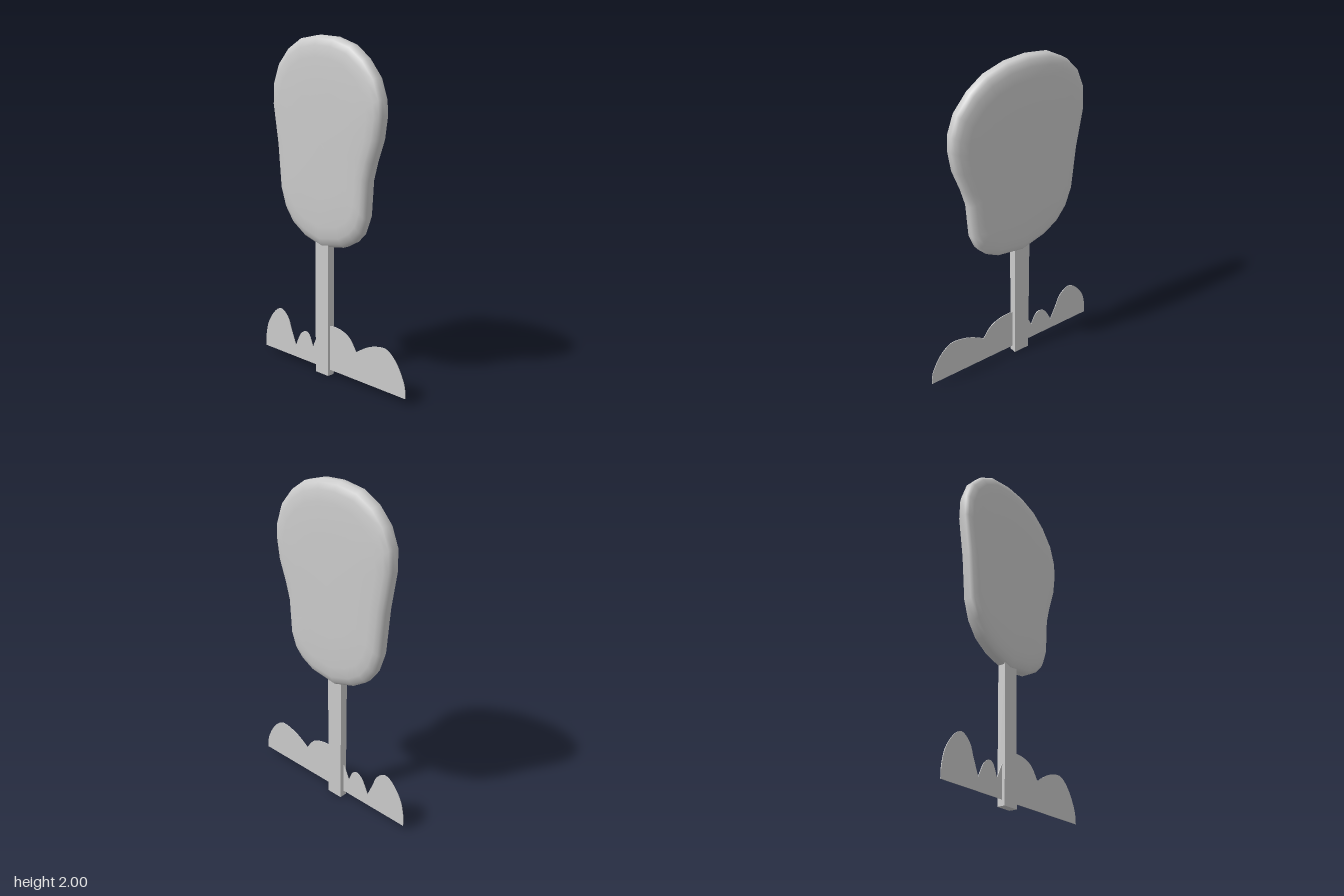
import * as THREE from 'three';

// Crown outline as [z, y], clockwise seen from +x
const crownOutline = [
  [-0.085, 2], [-0.23, 1.98], [-0.34, 1.92], [-0.42, 1.835], [-0.465, 1.725],
  [-0.47, 1.6], [-0.43, 1.36], [-0.405, 1.09], [-0.365, 0.975], [-0.3, 0.89],
  [-0.205, 0.83], [-0.055, 0.785], [0.12, 0.81], [0.205, 0.855], [0.26, 0.91],
  [0.295, 1], [0.31, 1.21], [0.34, 1.315], [0.39, 1.45], [0.41, 1.58],
  [0.405, 1.67], [0.365, 1.78], [0.28, 1.88], [0.18, 1.95], [0.05, 1.99],
];

// Pillow-like solid: the outline scaled in rings from one flat side to the other
function crownGeometry() {
  const cz = -0.03, cy = 1.4, n = crownOutline.length;
  const half = [[0.02, 0.063], [0.5, 0.062], [0.8, 0.058], [0.91, 0.05], [0.97, 0.037], [1, 0.019]];
  const rings = [...half, ...half.map(([s, x]) => [s, -x]).reverse()];
  const positions = [], index = [];
  for (const [s, x] of rings) {
    for (const [z, y] of crownOutline) positions.push(x - 0.002, cy + (y - cy) * s, cz + (z - cz) * s);
  }
  for (let r = 0; r < rings.length - 1; r++) {
    for (let i = 0; i < n; i++) {
      const j = (i + 1) % n;
      const a = r * n + i, b = a + n, c = (r + 1) * n + j, d = r * n + j;
      index.push(a, c, b, a, d, c);
    }
  }
  // Close the small centre of each side
  const last = (rings.length - 1) * n;
  for (let i = 1; i < n - 1; i++) index.push(0, i + 1, i, last, last + i, last + i + 1);
  const geometry = new THREE.BufferGeometry();
  geometry.setAttribute('position', new THREE.Float32BufferAttribute(positions, 3));
  geometry.setIndex(index);
  geometry.computeVertexNormals();
  return geometry;
}

// Thin sheet of bush humps; each row is one hump as [-z, y] points
function bushGeometry() {
  const humps = [
    [[-0.587, 0.11], [-0.54, 0.205], [-0.48, 0.268], [-0.42, 0.287], [-0.315, 0.262], [-0.215, 0.205]],
    [[-0.155, 0.28], [-0.06, 0.312], [0.03, 0.3], [0.1, 0.235], [0.15, 0.14]],
    [[0.18, 0.205], [0.215, 0.222], [0.26, 0.195], [0.305, 0.11]],
    [[0.345, 0.2], [0.375, 0.27], [0.435, 0.314], [0.495, 0.29], [0.56, 0.205], [0.587, 0.11], [0.59, 0.035]],
  ];
  const shape = new THREE.Shape();
  shape.moveTo(-0.595, 0.035);
  for (const hump of humps) shape.splineThru(hump.map(([u, y]) => new THREE.Vector2(u, y)));
  shape.closePath();
  const geometry = new THREE.ExtrudeGeometry(shape, { depth: 0.004, bevelEnabled: false, curveSegments: 5 });
  return geometry.rotateY(Math.PI / 2).translate(-0.014, 0, 0);
}

export function createModel() {
  const model = new THREE.Group();
  model.name = 'flatTree';
  const material = new THREE.MeshStandardMaterial({ color: 0xcccccc });
  const add = (name, geometry) => {
    const mesh = new THREE.Mesh(geometry, material);
    mesh.name = name;
    model.add(mesh);
  };

  add('crown', crownGeometry());
  // Square-cut trunk, running a little way into the crown
  add('trunk', new THREE.BoxGeometry(0.048, 0.84, 0.106).translate(-0.007, 0.42, -0.053));
  add('bushes', bushGeometry());
  return model;
}
